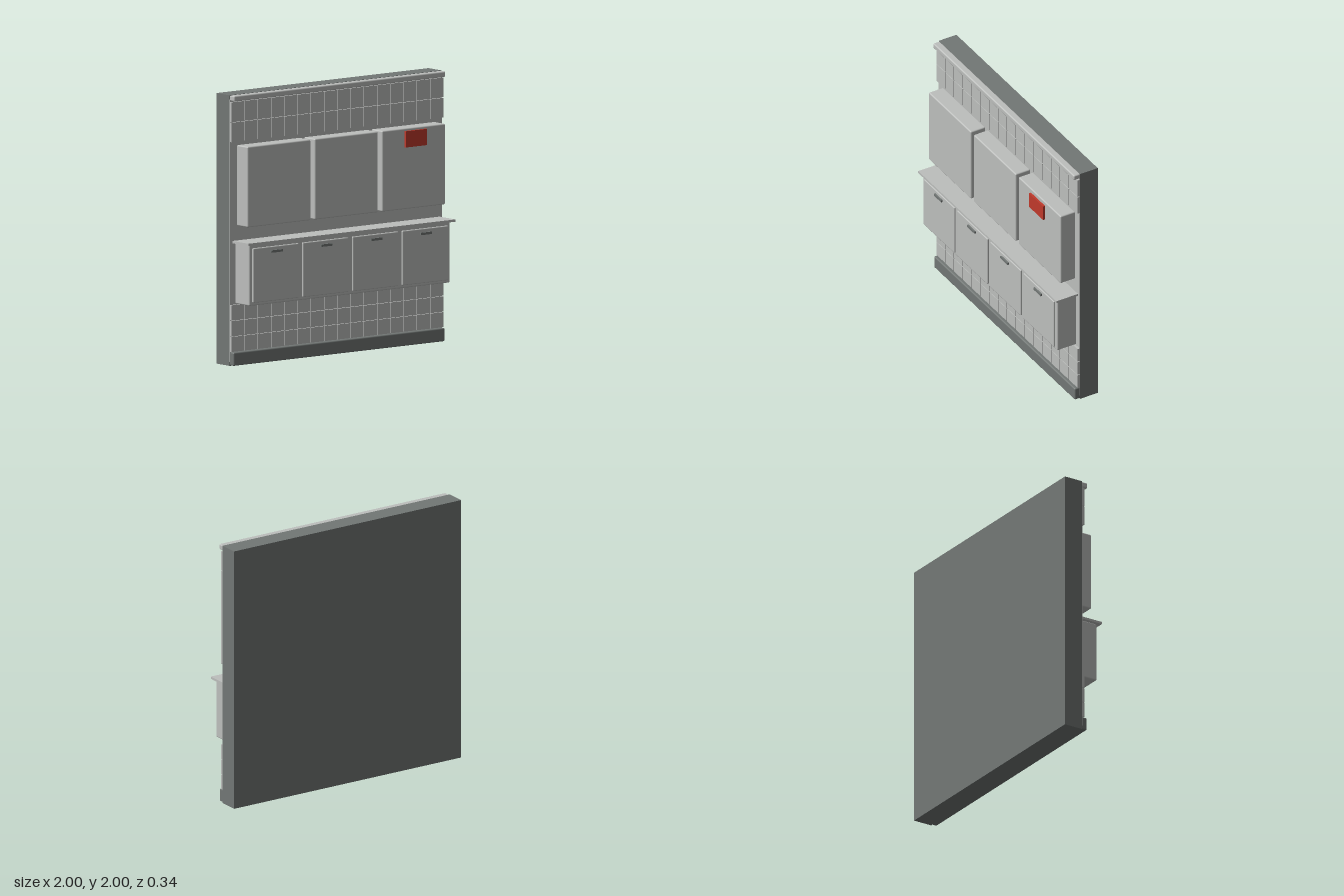
import * as THREE from 'three';
import { RoundedBoxGeometry } from 'three/addons/geometries/RoundedBoxGeometry.js';

const mat = (name, color) => {
  const m = new THREE.MeshStandardMaterial({ color });
  m.name = name;
  return m;
};

export function createModel() {
  const light = mat('light grey', 0xbdbfbd);
  const dark = mat('dark grey', 0x727775);
  const red = mat('red', 0xc0392b);
  const model = new THREE.Group();
  model.name = 'kitchenWall';

  // Box given by its limits on each axis; r > 0 rounds the edges
  function box(name, material, [x0, x1], [y0, y1], [z0, z1], r = 0, parent = model) {
    const size = [x1 - x0, y1 - y0, z1 - z0];
    const geometry = r ? new RoundedBoxGeometry(...size, 2, r) : new THREE.BoxGeometry(...size);
    const mesh = new THREE.Mesh(geometry, material);
    mesh.name = name;
    mesh.position.set((x0 + x1) / 2, (y0 + y1) / 2, (z0 + z1) / 2);
    parent.add(mesh);
    return mesh;
  }
  const group = (name) => {
    const g = new THREE.Group();
    g.name = name;
    model.add(g);
    return g;
  };

  // Wall slab with a thin light facing
  box('wall', dark, [-1, 1], [0, 2], [-0.17, -0.02]);
  box('wallFacing', light, [-1, 1], [0.03, 1.97], [-0.02, -0.015]);

  // Skirting and crown moulding
  box('skirting', dark, [-0.997, 0.997], [0.003, 0.102], [-0.03, 0.025], 0.01);
  box('crownMoulding', light, [-0.997, 0.997], [1.957, 1.999], [-0.025, 0.032], 0.01);

  // Tile bands
  const gap = 0.003;
  function tiles(name, y0, y1, rows) {
    const band = group(name);
    const w = 2 / 16, h = (y1 - y0) / rows;
    for (let r = 0; r < rows; r++) {
      for (let c = 0; c < 16; c++) {
        const x = -1 + c * w, y = y0 + r * h;
        box('tile', light, [x + (c ? gap : 0), x + w - (c < 15 ? gap : 0)],
          [y + gap, y + h - gap], [-0.018, 0.002], 0, band);
      }
    }
  }
  tiles('lowerTiles', 0.102, 0.453, 3);
  tiles('upperTiles', 1.652, 1.953, 2);

  // Wall cabinets
  const cabinets = group('wallCabinets');
  for (const x of [-0.635, 0, 0.635]) {
    box('wallCabinet', light, [x - 0.298, x + 0.298], [1.03, 1.627], [-0.02, 0.108], 0.01, cabinets);
  }
  box('redNotice', red, [0.535, 0.735], [1.49, 1.61], [0.12, 0.137]);

  // Base cabinet with four doors and their handles
  box('baseCabinet', light, [-0.948, 0.948], [0.455, 0.91], [-0.025, 0.145], 0.01);
  const doors = group('doors');
  for (const x of [-0.704, -0.235, 0.235, 0.704]) {
    box('door', light, [x - 0.216, x + 0.216], [0.477, 0.88], [0.135, 0.158], 0.007, doors);
    box('handle', dark, [x - 0.052, x + 0.052], [0.835, 0.853], [0.155, 0.17], 0, doors);
  }

  // Worktop
  box('worktop', light, [-0.977, 0.977], [0.905, 0.922], [-0.02, 0.17]);
  return model;
}
